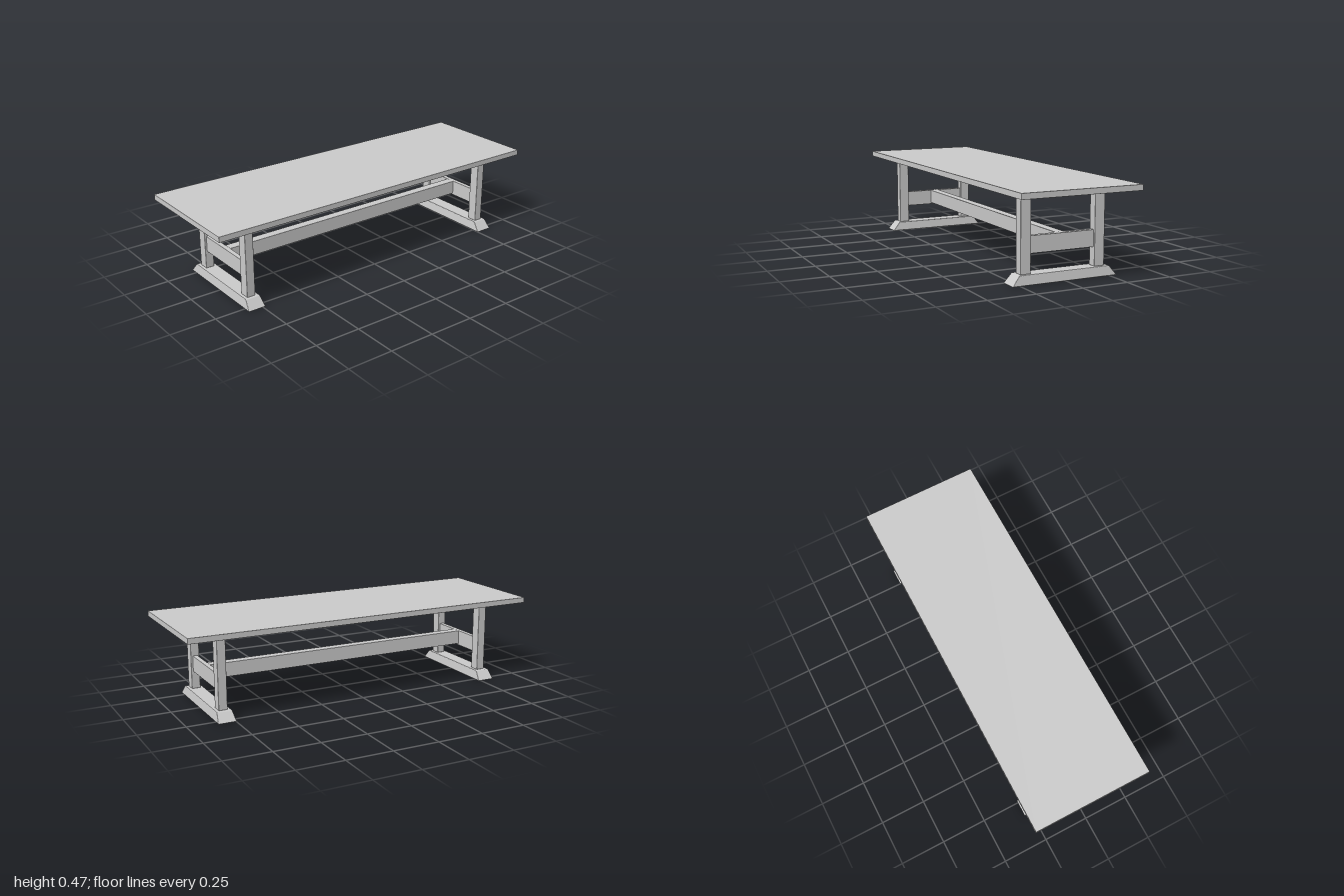
import * as THREE from 'three';
import { RoundedBoxGeometry } from 'three/addons/geometries/RoundedBoxGeometry.js';

const wood = new THREE.MeshStandardMaterial({ color: 0xcccccc });

// Board with softened edges, given by its size and centre
function board(name, size, centre, bevel) {
  const mesh = new THREE.Mesh(new RoundedBoxGeometry(...size, 2, bevel), wood);
  mesh.name = name;
  mesh.position.set(...centre);
  return mesh;
}

// Sled foot: a board that narrows towards its top, with steeply sloped ends
function foot() {
  const mesh = board('foot', [0.584, 0.05, 0.098], [0, 0.025, 0], 0.003);
  const p = mesh.geometry.attributes.position;
  for (let i = 0; i < p.count; i++) {
    const t = p.getY(i) / 0.05 + 0.5;
    p.setX(i, p.getX(i) * (1 - 0.14 * t));
    p.setZ(i, p.getZ(i) * (1 - 0.16 * t));
  }
  mesh.geometry.computeVertexNormals();
  return mesh;
}

// End frame: foot, two posts and the rail between them
function trestle(name, z) {
  const frame = new THREE.Group();
  frame.name = name;
  frame.position.z = z;
  frame.add(foot());
  for (const [side, x] of [['right', -0.2035], ['left', 0.2095]]) {
    frame.add(board(side + 'Leg', [0.057, 0.388, 0.048], [x, 0.243, 0], 0.003));
  }
  frame.add(board('crossRail', [0.357, 0.087, 0.026], [0.003, 0.1895, 0], 0.001));
  return frame;
}

export function createModel() {
  const table = new THREE.Group();
  table.name = 'trestleTable';
  table.add(board('tableTop', [0.66, 0.03, 2], [0, 0.457, 0], 0.001));
  table.add(trestle('frontTrestle', 0.784), trestle('backTrestle', -0.797));

  // Long stretcher joining the two cross rails
  table.add(board('stretcher', [0.05, 0.078, 1.556], [0.003, 0.194, -0.0065], 0.001));
  return table;
}
